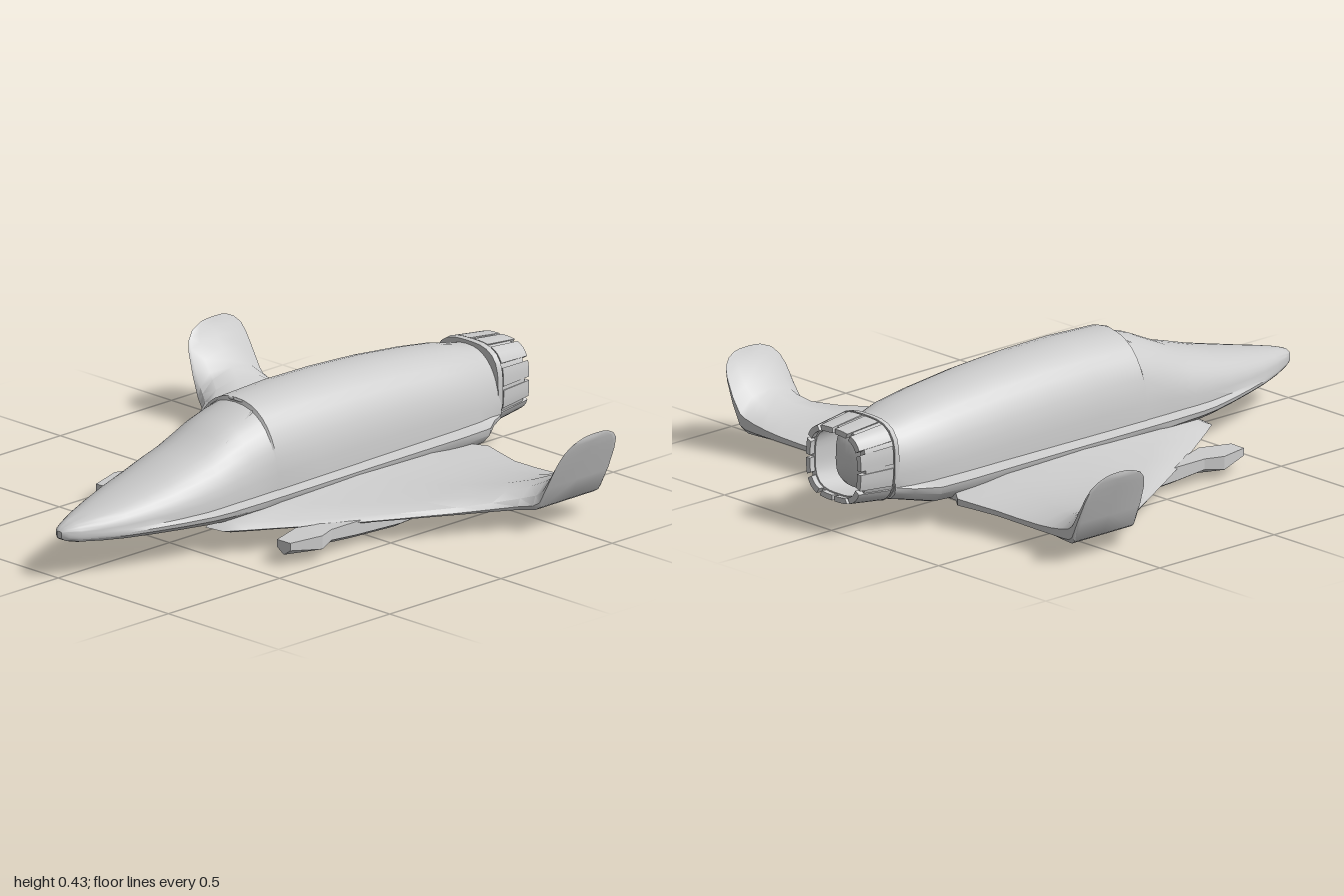
import * as THREE from 'three';
import { toCreasedNormals } from 'three/addons/utils/BufferGeometryUtils.js';

const material = new THREE.MeshStandardMaterial({ color: 0xcccccc, side: THREE.DoubleSide });

// Skin a row of equal-length closed cross-sections, cap both ends, face outward.
function loft(name, sections, crease = 0.6) {
  const n = sections[0].length, pos = [], idx = [];
  sections.forEach(s => s.forEach(p => pos.push(...p)));
  for (let i = 0; i < sections.length - 1; i++) {
    for (let j = 0; j < n; j++) {
      const a = i * n + j, b = i * n + (j + 1) % n;
      idx.push(a, a + n, b, b, a + n, b + n);
    }
  }
  [0, sections.length - 1].forEach((s, end) => {
    const c = pos.length / 3;
    pos.push(...[0, 1, 2].map(k => sections[s].reduce((t, p) => t + p[k], 0) / n));
    for (let j = 0; j < n; j++) {
      const a = s * n + j, b = s * n + (j + 1) % n;
      idx.push(c, ...(end ? [b, a] : [a, b]));
    }
  });
  // The signed volume tells whether the winding must be reversed
  const v = i => new THREE.Vector3().fromArray(pos, idx[i] * 3);
  let volume = 0;
  for (let i = 0; i < idx.length; i += 3) volume += v(i).dot(v(i + 1).cross(v(i + 2)));
  if (volume < 0) idx.reverse();
  const g = new THREE.BufferGeometry();
  g.setAttribute('position', new THREE.Float32BufferAttribute(pos, 3));
  g.setIndex(idx);
  const mesh = new THREE.Mesh(toCreasedNormals(g, crease), material);
  mesh.name = name;
  return mesh;
}

// Arched hull section standing on a wider chine, with a flat belly
function hullSection([x, wb, w, yf, yb, yt]) {
  const pts = [], steps = 20, e = 2 / 2.3;
  for (let i = 0; i <= steps; i++) {
    const a = Math.PI * i / steps, c = Math.cos(a);
    pts.push([x, yf + 0.01 + (yt - yf - 0.01) * Math.pow(Math.max(0, Math.sin(a)), e),
      wb * Math.sign(c) * Math.pow(Math.abs(c), e)]);
  }
  const low = [[w, yf], [w * 0.98, yf - (yf - yb) * 0.35], [w * 0.85, yb + (yf - yb) * 0.2], [w * 0.6, yb]];
  low.forEach(([z, y]) => pts.push([x, y, -z]));
  low.reverse().forEach(([z, y]) => pts.push([x, y, z]));
  return pts;
}

// Point on the rounded-square engine outline
function squircle(x, a, rz, ry) {
  const c = Math.cos(a), s = Math.sin(a);
  const k = Math.pow(Math.abs(c) ** 3.2 + Math.abs(s) ** 3.2, -1 / 3.2);
  return [x, 0.225 + ry * k * s, rz * k * c];
}
const ringOf = (x, rz, ry, n = 32) =>
  Array.from({ length: n }, (_, i) => squircle(x, i / n * Math.PI * 2, rz, ry));

// Curved piece of nozzle wall between two angles
function wall(name, x0, x1, a0, a1, r0, r1, thickness, steps) {
  const rows = [];
  for (let i = 0; i <= steps; i++) {
    const a = a0 + (a1 - a0) * i / steps;
    rows.push([[x0, r0], [x1, r1], [x1, r1 - thickness], [x0, r0 - thickness]]
      .map(([x, r]) => squircle(x, a, r, r - 0.005)));
  }
  return loft(name, rows, 0.4);
}

// Wing stations: span, leading edge, trailing edge, underside, upper side
const wingRows = [
  [0.14, -0.48, 0.66, 0.07, 0.145], [0.21, -0.47, 0.66, 0.07, 0.14], [0.25, -0.41, 0.69, 0.07, 0.132],
  [0.30, -0.33, 0.68, 0.07, 0.125], [0.40, -0.17, 0.66, 0.068, 0.114], [0.50, 0, 0.66, 0.068, 0.113],
  [0.60, 0.175, 0.662, 0.067, 0.12], [0.66, 0.28, 0.665, 0.067, 0.132], [0.71, 0.36, 0.67, 0.067, 0.15],
  [0.75, 0.39, 0.675, 0.068, 0.174], [0.77, 0.4, 0.68, 0.08, 0.19], [0.80, 0.408, 0.683, 0.15, 0.217],
  [0.83, 0.42, 0.68, 0.225, 0.258], [0.845, 0.435, 0.672, 0.262, 0.282],
  [0.855, 0.46, 0.65, 0.288, 0.302], [0.86, 0.5, 0.62, 0.304, 0.314],
];
const wingProfile = [[0, 0.15], [0.04, 0.45], [0.2, 0.8], [0.5, 1], [0.8, 0.9], [1, 0.5],
  [1, 0.15], [0.95, 0], [0.5, 0], [0.03, 0]];
const makeWing = side => loft('wing', wingRows.map(([z, le, te, yb, yt]) =>
  wingProfile.map(([t, f]) => [le + (te - le) * t, yb + (yt - yb) * f, z * side])), 0.7);

// Underwing store: x, half width, bottom, top
const storeRows = [[-0.395, 0.03, 0.03, 0.075], [-0.28, 0.06, 0.015, 0.08], [-0.215, 0.036, 0.024, 0.08],
  [-0.1, 0.036, 0.015, 0.08], [0.1, 0.036, 0.006, 0.08], [0.3, 0.033, 0.018, 0.08],
  [0.45, 0.026, 0.036, 0.08], [0.52, 0.015, 0.06, 0.08]];
const makeStore = side => loft('underwingStore', storeRows.map(([x, w, yb, yt]) =>
  [[w, yt], [w, yb + 0.02], [0, yb], [-w, yb + 0.02], [-w, yt]]
    .map(([z, y]) => [x, y, side * 0.408 + z])), 0.3);

export function createModel() {
  const craft = new THREE.Group();
  craft.name = 'spacecraft';

  // Hull: x, arch half width, chine half width, chine y, bottom, top
  craft.add(loft('fuselage', [
    [-1, 0.01, 0.01, 0.147, 0.137, 0.16], [-0.985, 0.03, 0.03, 0.143, 0.128, 0.172],
    [-0.95, 0.05, 0.051, 0.14, 0.12, 0.183], [-0.88, 0.083, 0.085, 0.137, 0.113, 0.2],
    [-0.8, 0.113, 0.117, 0.135, 0.107, 0.218], [-0.7, 0.142, 0.15, 0.135, 0.102, 0.242],
    [-0.6, 0.162, 0.18, 0.135, 0.098, 0.267], [-0.5, 0.176, 0.204, 0.135, 0.093, 0.298],
    [-0.43, 0.182, 0.216, 0.137, 0.09, 0.318], [-0.37, 0.185, 0.221, 0.139, 0.087, 0.345],
    [-0.3, 0.188, 0.225, 0.14, 0.082, 0.377], [-0.205, 0.191, 0.229, 0.142, 0.076, 0.406],
    [-0.2, 0.193, 0.229, 0.142, 0.076, 0.42], [0, 0.196, 0.234, 0.145, 0.07, 0.428],
    [0.2, 0.196, 0.236, 0.147, 0.068, 0.425], [0.4, 0.192, 0.236, 0.147, 0.068, 0.414],
    [0.6, 0.185, 0.232, 0.145, 0.07, 0.394], [0.73, 0.175, 0.222, 0.143, 0.075, 0.376],
    [0.8, 0.158, 0.17, 0.14, 0.088, 0.358], [0.86, 0.142, 0.14, 0.14, 0.1, 0.348],
  ].map(hullSection)));

  // Belly pod with two narrow panel strips
  craft.add(loft('bellyPod', [[-0.42, 0.06, 0.08], [-0.3, 0.095, 0.055], [0, 0.1, 0.042],
    [0.5, 0.1, 0.042], [0.62, 0.09, 0.052], [0.72, 0.06, 0.075]].map(([x, w, y]) =>
    [[x, 0.1, w], [x, y + 0.02, w], [x, y, w * 0.65], [x, y, -w * 0.65], [x, y + 0.02, -w], [x, 0.1, -w]]), 0.3));

  for (const side of [1, -1]) {
    craft.add(makeWing(side), makeStore(side));

    const strip = new THREE.Mesh(new THREE.BoxGeometry(0.5, 0.008, 0.012), material);
    strip.name = 'bellyStrip';
    strip.position.set(0.12, 0.066, side * 0.18);
    craft.add(strip);

    // Raised canopy edge lying on the hull
    const edge = new THREE.CatmullRomCurve3([[-0.35, 0.322, 0.105], [-0.26, 0.363, 0.088],
      [-0.17, 0.405, 0.07], [-0.2, 0.413, 0.03], [-0.205, 0.416, 0]]
      .map(([x, y, z]) => new THREE.Vector3(x, y, z * side)), false, 'catmullrom', 0.1);
    const seam = new THREE.Mesh(new THREE.TubeGeometry(edge, 16, 0.005, 5), material);
    seam.name = 'canopyEdge';
    craft.add(seam);
  }

  // Engine: collar, open nozzle, toothed rim and rounded core
  const turn = Math.PI * 2;
  craft.add(wall('engineCollar', 0.845, 0.865, 0, turn, 0.142, 0.144, 0.05, 32));
  craft.add(wall('nozzle', 0.86, 0.978, 0, turn, 0.139, 0.127, 0.02, 32));
  const teeth = 12;
  for (let i = 0; i < teeth; i++) {
    const a = turn * i / teeth;
    craft.add(wall('nozzleTooth', 0.87, 1, a + 0.05, a + turn / teeth - 0.05, 0.142, 0.127, 0.018, 4));
  }
  craft.add(loft('engineCore', [[0.85, 0.118], [0.875, 0.112], [0.9, 0.1], [0.92, 0.082], [0.935, 0.05], [0.94, 0.02]]
    .map(([x, r]) => ringOf(x, r * 0.9, r))));

  // Slight bank and yaw of the whole craft
  craft.rotation.set(-0.01, 0.007, 0);
  const model = new THREE.Group();
  model.name = 'model';
  model.add(craft);
  return model;
}
